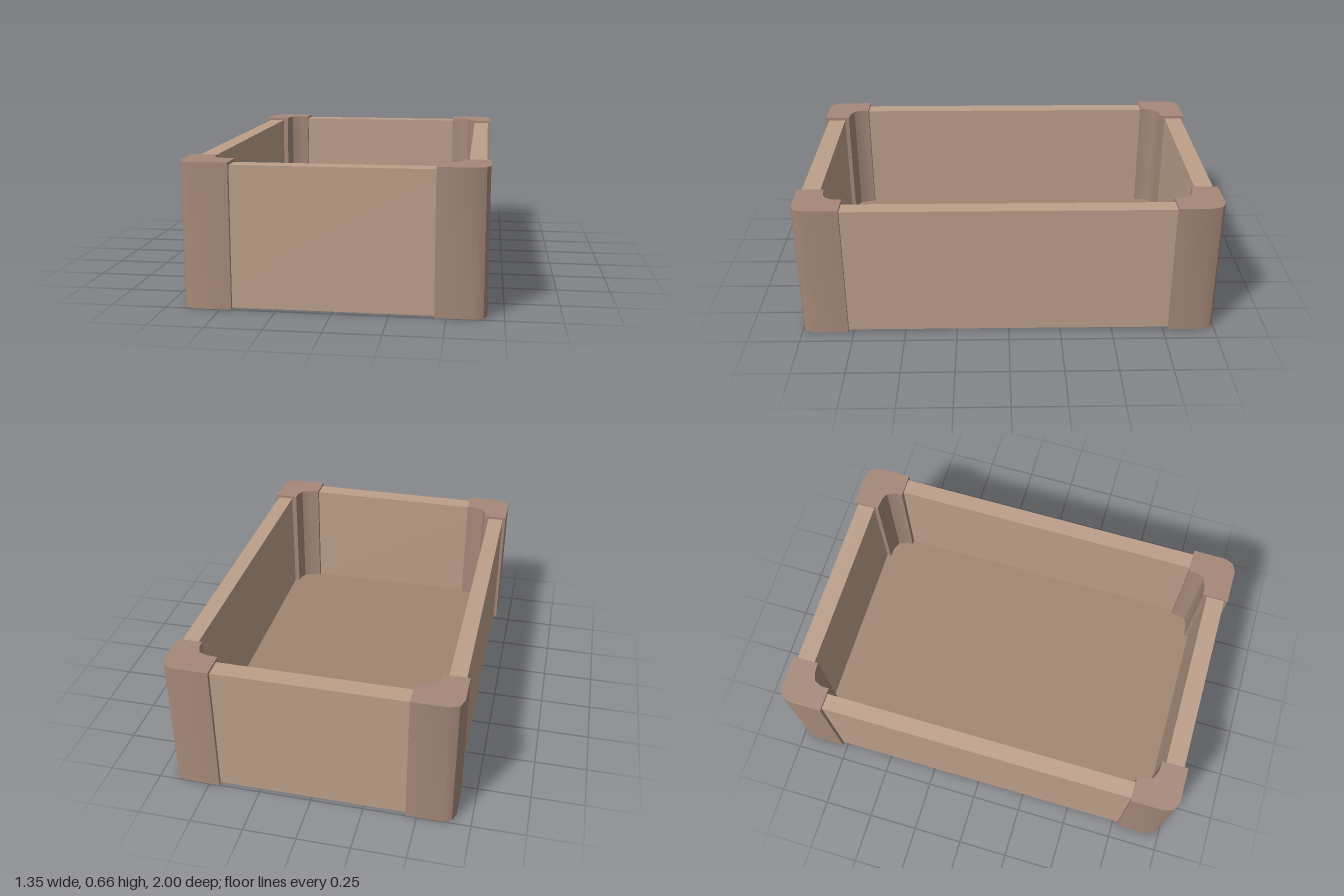
import * as THREE from 'three';
import { toCreasedNormals } from 'three/addons/utils/BufferGeometryUtils.js';

const wallMat = new THREE.MeshStandardMaterial({ color: 0xbc9f8a });
const postMat = new THREE.MeshStandardMaterial({ color: 0xa58879 });
const floorMat = new THREE.MeshStandardMaterial({ color: 0xa08570 });

// Box between two corners
function addBox(group, name, mat, [x0, y0, z0], [x1, y1, z1]) {
  const mesh = new THREE.Mesh(new THREE.BoxGeometry(x1 - x0, y1 - y0, z1 - z0), mat);
  mesh.position.set((x0 + x1) / 2, (y0 + y1) / 2, (z0 + z1) / 2);
  mesh.name = name;
  group.add(mesh);
}

// L-shaped plan of one post as [x, z]: rounded outside, filleted inside
const POST_PLAN = [
  [0.449, 1], [0.62, 1], [0.66, 0.981], [0.677, 0.937], [0.677, 0.776],
  [0.557, 0.776], [0.557, 0.815], [0.54, 0.853], [0.503, 0.869], [0.449, 0.873],
];
const POST_HEIGHT = 0.66;

function addPost(group, name, sx, sz) {
  const shape = new THREE.Shape(POST_PLAN.map(([x, z]) => new THREE.Vector2(sx * x, -sz * z)));
  const geo = new THREE.ExtrudeGeometry(shape, { depth: POST_HEIGHT, bevelEnabled: false });
  geo.rotateX(-Math.PI / 2);
  const mesh = new THREE.Mesh(toCreasedNormals(geo, 0.6), postMat);
  mesh.name = name;
  group.add(mesh);
}

export function createModel() {
  const group = new THREE.Group();
  group.name = 'openCrate';

  const bottom = 0.005, top = 0.647, floorTop = 0.085;
  const outX = 0.661, inX = 0.582, outZ = 0.983, inZ = 0.894;

  // Floor panel
  addBox(group, 'floor', floorMat, [-inX, bottom, -inZ], [inX, floorTop, inZ]);

  // Long side walls and short end walls, meeting inside the posts
  addBox(group, 'leftWall', wallMat, [inX, bottom, -inZ], [outX, top, inZ]);
  addBox(group, 'rightWall', wallMat, [-outX, bottom, -inZ], [-inX, top, inZ]);
  addBox(group, 'frontWall', wallMat, [-inX, bottom, inZ], [inX, top, outZ]);
  addBox(group, 'backWall', wallMat, [-inX, bottom, -outZ], [inX, top, -inZ]);

  // Four corner posts
  for (const sx of [1, -1]) {
    for (const sz of [1, -1]) {
      addPost(group, `${sz > 0 ? 'front' : 'back'}${sx > 0 ? 'Left' : 'Right'}Post`, sx, sz);
    }
  }
  return group;
}
